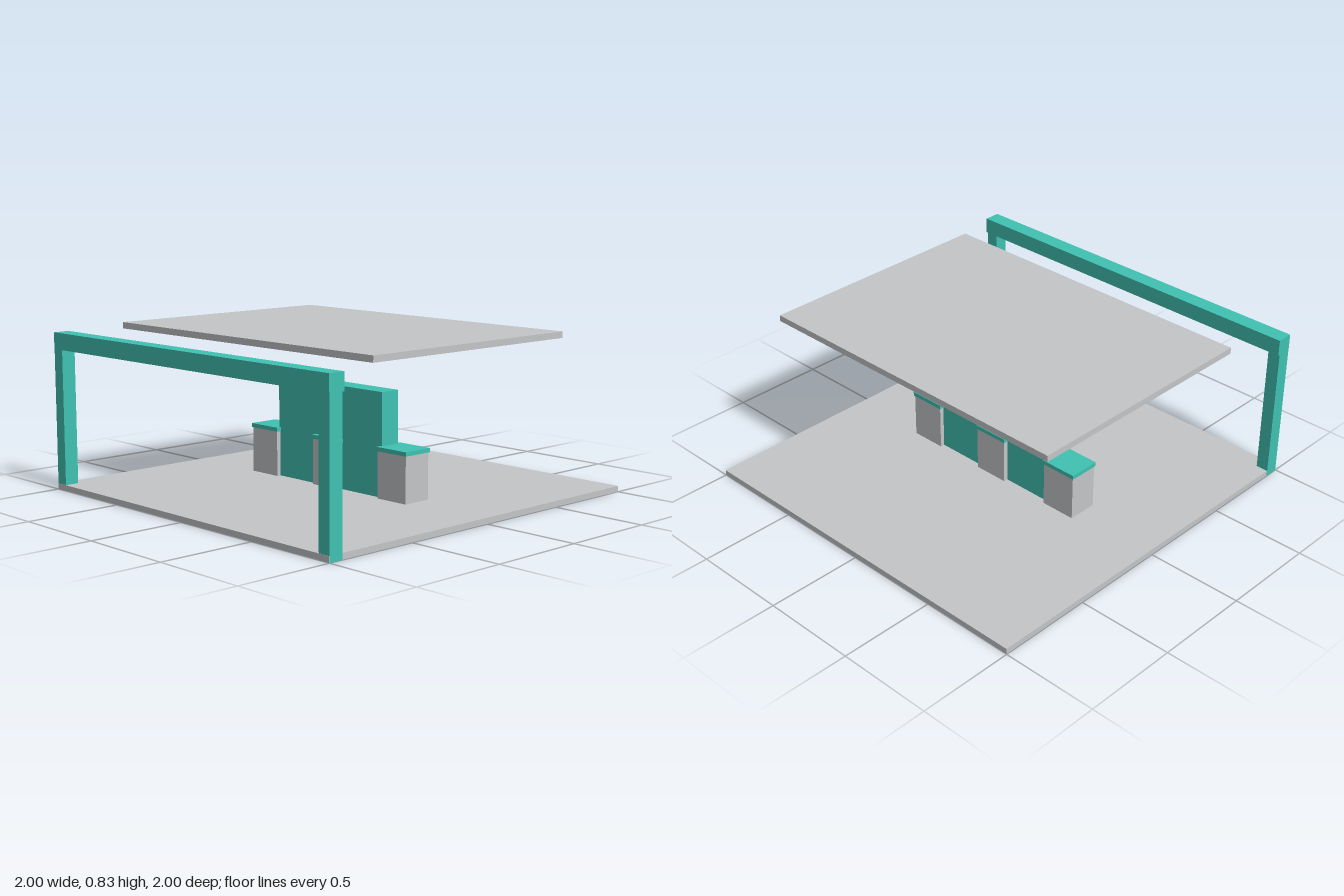
import * as THREE from 'three';

export function createModel() {
  const model = new THREE.Group();
  model.name = 'fuelStation';

  const grey = new THREE.MeshStandardMaterial({ name: 'concreteGrey', color: 0xc4c6c8 });
  const teal = new THREE.MeshStandardMaterial({ name: 'teal', color: 0x40c2b3 });

  // Box given by its limits on each axis
  function box(name, material, [x0, x1], [y0, y1], [z0, z1], parent = model) {
    const mesh = new THREE.Mesh(new THREE.BoxGeometry(x1 - x0, y1 - y0, z1 - z0), material);
    mesh.position.set((x0 + x1) / 2, (y0 + y1) / 2, (z0 + z1) / 2);
    mesh.name = name;
    parent.add(mesh);
    return mesh;
  }

  // Ground slab and floating canopy
  box('groundSlab', grey, [-0.999, 0.999], [0.001, 0.03], [-1, 1]);
  box('canopy', grey, [-0.902, 0.902], [0.8, 0.832], [-0.648, 0.648]);

  // Entrance gate: two posts and a beam
  const gate = new THREE.Group();
  gate.name = 'gate';
  model.add(gate);
  for (const side of [-1, 1]) {
    const post = box(side > 0 ? 'leftPost' : 'rightPost', teal,
      [0.934, 1], [0, 0.716], [0.925, 0.999], gate);
    post.position.x *= side;
  }
  box('gateBeam', teal, [-1, 1], [0.716, 0.8], [0.914, 1], gate);

  // Central wall under the canopy
  box('centralWall', teal, [-0.375, 0.371], [0, 0.55], [-0.055, 0.055]);

  // Three capped pumps
  ['rightPump', 'middlePump', 'leftPump'].forEach((name, i) => {
    const pump = new THREE.Group();
    pump.name = name;
    pump.position.x = -0.461 + i * 0.46;
    box('pumpBody', grey, [-0.094, 0.094], [0.01, 0.264], [-0.078, 0.078], pump);
    box('pumpCap', teal, [-0.099, 0.099], [0.264, 0.285], [-0.083, 0.083], pump);
    model.add(pump);
  });

  return model;
}
